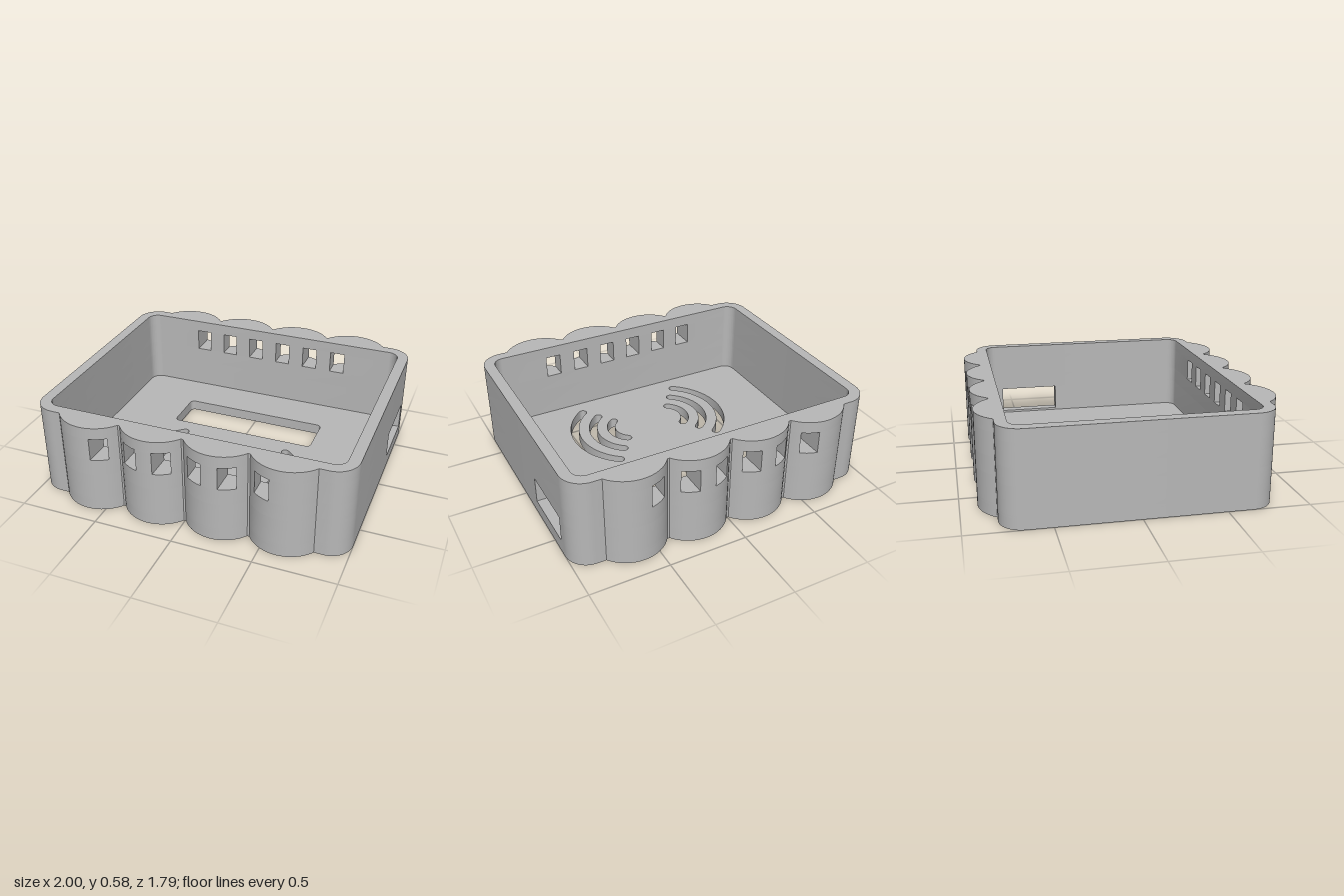
import * as THREE from 'three';
import { toCreasedNormals } from 'three/addons/utils/BufferGeometryUtils.js';

const HEIGHT = 0.58, FLOOR = 0.07;
const W = 1, D = 0.795, R = 0.14, WALL = 0.07;
const PITCH = 0.405, BUMP_HALF = 0.196, BUMP_RISE = 0.1;

// Plan outlines are drawn in x and -z, so positive plan y is the back.
// Half outline of a rounded rectangle, from (w, 0) round the back to (-w, 0).
function halfOutline(w, d, r, scalloped) {
  const pts = [new THREE.Vector2(w, 0)];
  const arc = (cx, cy, radius, a0, a1) => {
    for (let i = 0; i <= 16; i++) {
      const t = a0 + (a1 - a0) * i / 16;
      pts.push(new THREE.Vector2(cx + radius * Math.cos(t), cy + radius * Math.sin(t)));
    }
  };
  arc(w - r, d - r, r, 0, Math.PI / 2);
  if (scalloped) {
    const radius = (BUMP_HALF ** 2 + BUMP_RISE ** 2) / (2 * BUMP_RISE);
    const a = Math.acos(BUMP_HALF / radius);
    for (let i = 1.5; i >= -1.5; i--) {
      arc(i * PITCH, d + BUMP_RISE - radius, radius, a, Math.PI - a);
    }
  }
  arc(r - w, d - r, r, Math.PI / 2, Math.PI);
  pts.push(new THREE.Vector2(-w, 0));
  return pts;
}

const outerHalf = halfOutline(W, D, R, true);
const innerHalf = halfOutline(W - WALL, D - WALL, R - WALL, false);
const turned = (pts) => pts.map((p) => new THREE.Vector2(-p.x, -p.y));
const fullLoop = (half) => [...half, ...turned(half).slice(1, -1)];
const backRing = [...outerHalf, ...[...innerHalf].reverse()];
const frontRing = backRing.map((p) => new THREE.Vector2(p.x, -p.y));

// Keep the part of a polygon where sign * (coordinate - value) >= 0
function clip(pts, axis, value, sign) {
  const out = [];
  pts.forEach((p, i) => {
    const q = pts[(i + 1) % pts.length];
    const a = sign * (p[axis] - value), b = sign * (q[axis] - value);
    if (a >= 0) out.push(p.clone());
    if (a * b < 0) out.push(p.clone().lerp(q, a / (a - b)));
  });
  return out;
}

// Rounded slot following an arc, side = 1 or -1
function arcSlot(cx, cy, radius, halfWidth, spread, side) {
  const pts = [];
  const sweep = (x, y, r, a0, a1, n) => {
    for (let i = 0; i <= n; i++) {
      const t = a0 + (a1 - a0) * i / n;
      pts.push(new THREE.Vector2(cx + side * (x + r * Math.cos(t)), cy + y + r * Math.sin(t)));
    }
  };
  const ex = radius * Math.cos(spread), ey = radius * Math.sin(spread);
  sweep(0, 0, radius + halfWidth, -spread, spread, 24);
  sweep(ex, ey, halfWidth, spread + 0.3, spread + Math.PI - 0.3, 8);
  sweep(0, 0, radius - halfWidth, spread, -spread, 24);
  sweep(ex, -ey, halfWidth, Math.PI - spread + 0.3, 2 * Math.PI - spread - 0.3, 8);
  return pts;
}

// Drop repeated points and set the winding, 1 for anticlockwise
function tidy(pts, winding) {
  const out = pts.filter((p, i) => p.distanceTo(pts[(i + 1) % pts.length]) > 1e-6);
  return THREE.ShapeUtils.area(out) * winding < 0 ? out.reverse() : out;
}

// Upright prisms from plan outlines, all sharing the same holes
function prisms(outlines, holes, y0, y1) {
  const positions = [];
  const put = (p, y) => positions.push(p.x, y, -p.y);
  for (const outline of outlines) {
    const outer = tidy(outline, 1);
    const inner = holes.map((hole) => tidy(hole, -1));
    const points = [outer, ...inner].flat();
    for (const [a, b, c] of THREE.ShapeUtils.triangulateShape(outer, inner)) {
      for (const i of [a, b, c]) put(points[i], y1);
      for (const i of [a, c, b]) put(points[i], y0);
    }
    for (const loop of [outer, ...inner]) {
      loop.forEach((p, i) => {
        const q = loop[(i + 1) % loop.length];
        put(p, y0); put(q, y0); put(q, y1);
        put(p, y0); put(q, y1); put(p, y1);
      });
    }
  }
  const geo = new THREE.BufferGeometry();
  geo.setAttribute('position', new THREE.Float32BufferAttribute(positions, 3));
  geo.computeVertexNormals();
  return toCreasedNormals(geo, 0.5);
}

export function createModel() {
  const group = new THREE.Group();
  const grey = new THREE.MeshStandardMaterial({ color: 0xb8b8b8 });
  grey.name = 'plain grey';

  const addLayer = (name, outlines, holes, y0, y1) => {
    const mesh = new THREE.Mesh(prisms(outlines, holes, y0, y1), grey);
    mesh.name = name;
    group.add(mesh);
  };
  const outside = [fullLoop(outerHalf)];
  const inside = [fullLoop(innerHalf)];

  // Floor with display opening and two sets of curved grille slots
  const display = fullLoop(halfOutline(0.495, 0.145, 0.03, false));
  const floorHoles = [display.map((p) => new THREE.Vector2(p.x - 0.005, p.y + 0.3))];
  for (const side of [-1, 1]) {
    for (const radius of [0.145, 0.27, 0.397]) {
      floorHoles.push(arcSlot(-0.005 + side * 0.127, -0.285, radius, 0.027, 0.93, side));
    }
  }
  addLayer('floor', outside, floorHoles, 0, FLOOR);

  // Wall with a socket opening on the left side, near the back
  addLayer('wallBase', outside, inside, FLOOR, 0.085);
  const backLeft = clip(backRing, 'x', 0, 1);
  addLayer('wallAroundSocket', [
    frontRing,
    clip(backRing, 'x', 0, -1),
    clip(backLeft, 'y', 0.21, -1),
    clip(backLeft, 'y', 0.61, 1),
  ], [], 0.085, 0.255);
  addLayer('wallMiddle', outside, inside, 0.255, 0.36);

  // Wall pieces between the six windows, front and back
  const edges = [-2];
  for (let i = -2.5; i <= 2.5; i++) {
    const x = i * PITCH / 2 - 0.003;
    edges.push(x - 0.05, x + 0.05);
  }
  edges.push(2);
  const piers = [];
  for (const half of [frontRing, backRing]) {
    for (let i = 0; i < edges.length; i += 2) {
      piers.push(clip(clip(half, 'x', edges[i], 1), 'x', edges[i + 1], -1));
    }
  }
  addLayer('wallBetweenWindows', piers, [], 0.36, 0.505);
  addLayer('wallRim', outside, inside, 0.505, HEIGHT);

  return group;
}
